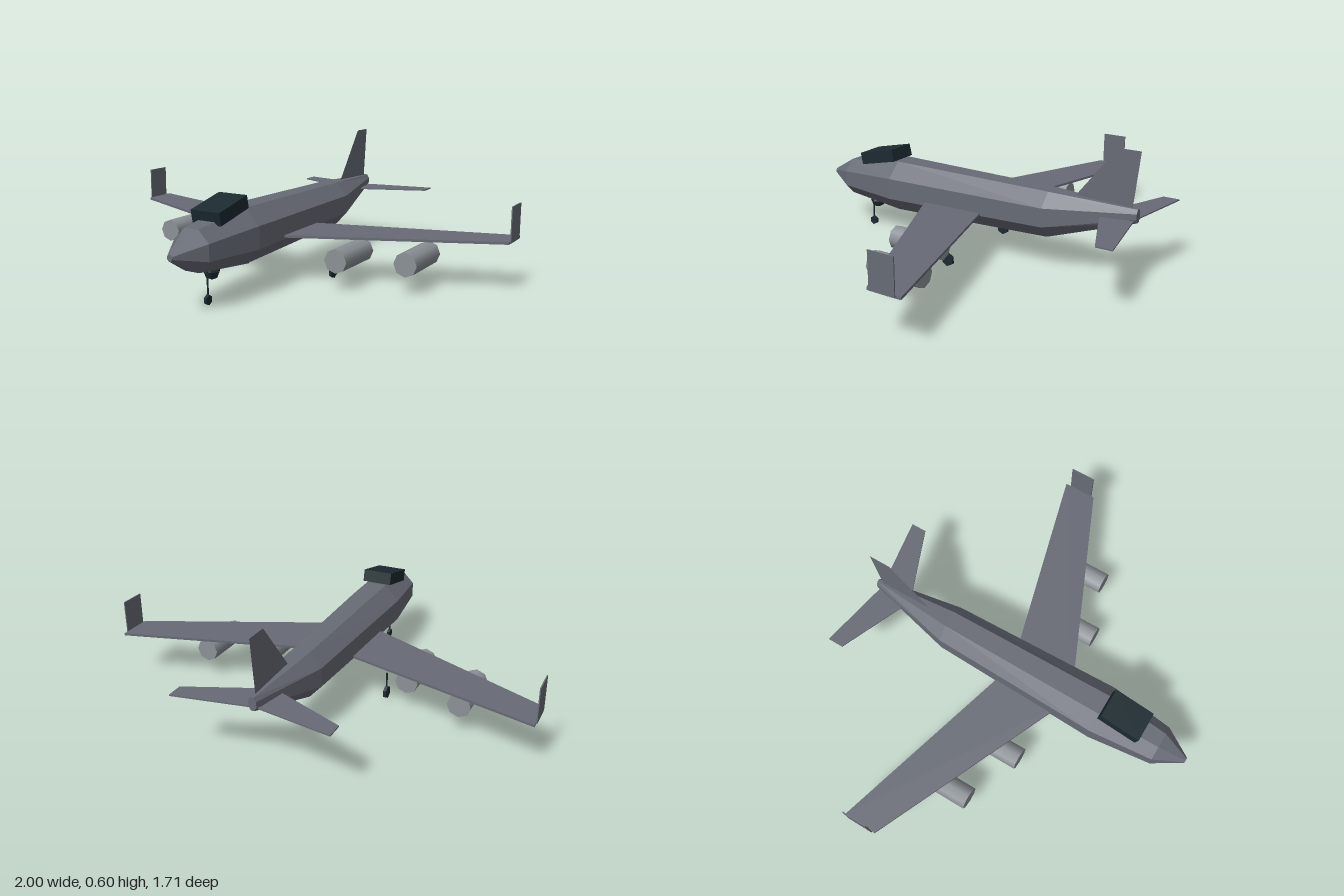
import * as THREE from 'three';

const body = new THREE.MeshStandardMaterial({ name: 'bodyGrey', color: 0x676b75 });
const plate = new THREE.MeshStandardMaterial({ name: 'plateGrey', color: 0x676b75, side: THREE.DoubleSide });
const pod = new THREE.MeshStandardMaterial({ name: 'engineGrey', color: 0x8b9196 });
const dark = new THREE.MeshStandardMaterial({ name: 'darkGlass', color: 0x1c2a30 });

function flat(geometry) {
  const g = geometry.index ? geometry.toNonIndexed() : geometry;
  g.computeVertexNormals();
  return g;
}

// Octagonal hull lofted through [z, centreY, halfWidth, halfHeight] stations
function hullGeometry(stations, sides = 8) {
  const pos = [], index = [];
  const k = 1 / Math.cos(Math.PI / sides);
  for (const [z, cy, w, h] of stations) {
    for (let i = 0; i < sides; i++) {
      const a = ((i + 0.5) / sides) * Math.PI * 2;
      pos.push(Math.cos(a) * w * k, cy + Math.sin(a) * h * k, z);
    }
  }
  for (let s = 0; s < stations.length - 1; s++) {
    for (let i = 0; i < sides; i++) {
      const a = s * sides + i, b = s * sides + ((i + 1) % sides);
      index.push(a, a + sides, b, b, a + sides, b + sides);
    }
  }
  const last = (stations.length - 1) * sides;
  for (let i = 1; i < sides - 1; i++) {
    index.push(0, i, i + 1, last, last + i + 1, last + i);
  }
  const g = new THREE.BufferGeometry();
  g.setAttribute('position', new THREE.Float32BufferAttribute(pos, 3));
  g.setIndex(index);
  return flat(g);
}

// Swept surface across the full span, from half-plan points [x, z]: leading edge out, trailing edge in
function sweptGeometry(half, thickness) {
  const mirrored = half.slice(1, -1).reverse().map(([x, z]) => [-x, z]);
  const pts = [...half, ...mirrored].map(([x, z]) => new THREE.Vector2(x, -z));
  const g = new THREE.ExtrudeGeometry(new THREE.Shape(pts), { depth: thickness, bevelEnabled: false });
  return g.rotateX(-Math.PI / 2).translate(0, -thickness / 2, 0);
}

export function createModel() {
  const model = new THREE.Group();
  model.name = 'aeroplane';
  const add = (name, geometry, material, x = 0, y = 0, z = 0) => {
    const m = new THREE.Mesh(geometry, material);
    m.name = name;
    m.position.set(x, y, z);
    model.add(m);
    return m;
  };

  add('fuselage', hullGeometry([
    [0.86, 0.25, 0.0125, 0.0135],
    [0.725, 0.252, 0.087, 0.088],
    [0.42, 0.257, 0.12, 0.122],
    [-0.4, 0.265, 0.097, 0.105],
    [-0.805, 0.325, 0.018, 0.03],
  ]), body);

  // Wings and tailplane
  add('wings', sweptGeometry([[0, 0.265], [0.995, -0.174], [0.995, -0.334], [0, -0.058]], 0.011),
    body, 0, 0.222, 0);
  add('tailplane', sweptGeometry([[0, -0.63], [0.357, -0.778], [0.357, -0.853], [0, -0.79]], 0.006),
    body, 0, 0.303, 0);

  // Paper-thin fin, drawn in (z, y) and turned into the centre plane
  const fin = new THREE.Shape([
    [-0.515, 0.34], [-0.515, 0.365], [-0.7, 0.603], [-0.803, 0.603], [-0.777, 0.34],
  ].map(([z, y]) => new THREE.Vector2(-z, y)));
  add('tailFin', new THREE.ShapeGeometry(fin).rotateY(Math.PI / 2), plate);

  // Cockpit block and chin fairing
  add('cockpit', new THREE.BoxGeometry(0.144, 0.058, 0.2), dark, 0, 0.388, 0.532).rotation.x = 0.22;
  add('chinFairing', flat(new THREE.SphereGeometry(0.037, 6, 4)), dark, 0, 0.138, 0.595);

  // Paired winglets and engines
  for (const [side, s] of [['left', 1], ['right', -1]]) {
    add(side + 'Winglet', new THREE.BoxGeometry(0.005, 0.16, 0.12), body, s * 0.9975, 0.299, -0.248);
    for (const [name, x, z] of [['InnerEngine', 0.358, 0.065], ['OuterEngine', 0.637, -0.038]]) {
      add(side + name, new THREE.CylinderGeometry(0.054, 0.054, 0.26, 8).rotateX(Math.PI / 2),
        pod, s * x, 0.137, z);
    }
  }

  // Landing gear: hexagonal wheel on a thin strut
  for (const [name, x, z, r] of [
    ['noseGear', 0, 0.625, 0.022], ['leftGear', 0.24, -0.005, 0.031], ['rightGear', -0.24, -0.005, 0.031],
  ]) {
    const wheel = new THREE.CylinderGeometry(r, r, 0.014, 6, 1, false, Math.PI / 2).rotateZ(Math.PI / 2);
    add(name + 'Wheel', flat(wheel), dark, x, r, z);
    const top = name === 'noseGear' ? 0.165 : 0.13;
    add(name + 'Strut', new THREE.CylinderGeometry(0.004, 0.004, top - r, 6), dark, x, (top + r) / 2, z);
  }

  return model;
}
